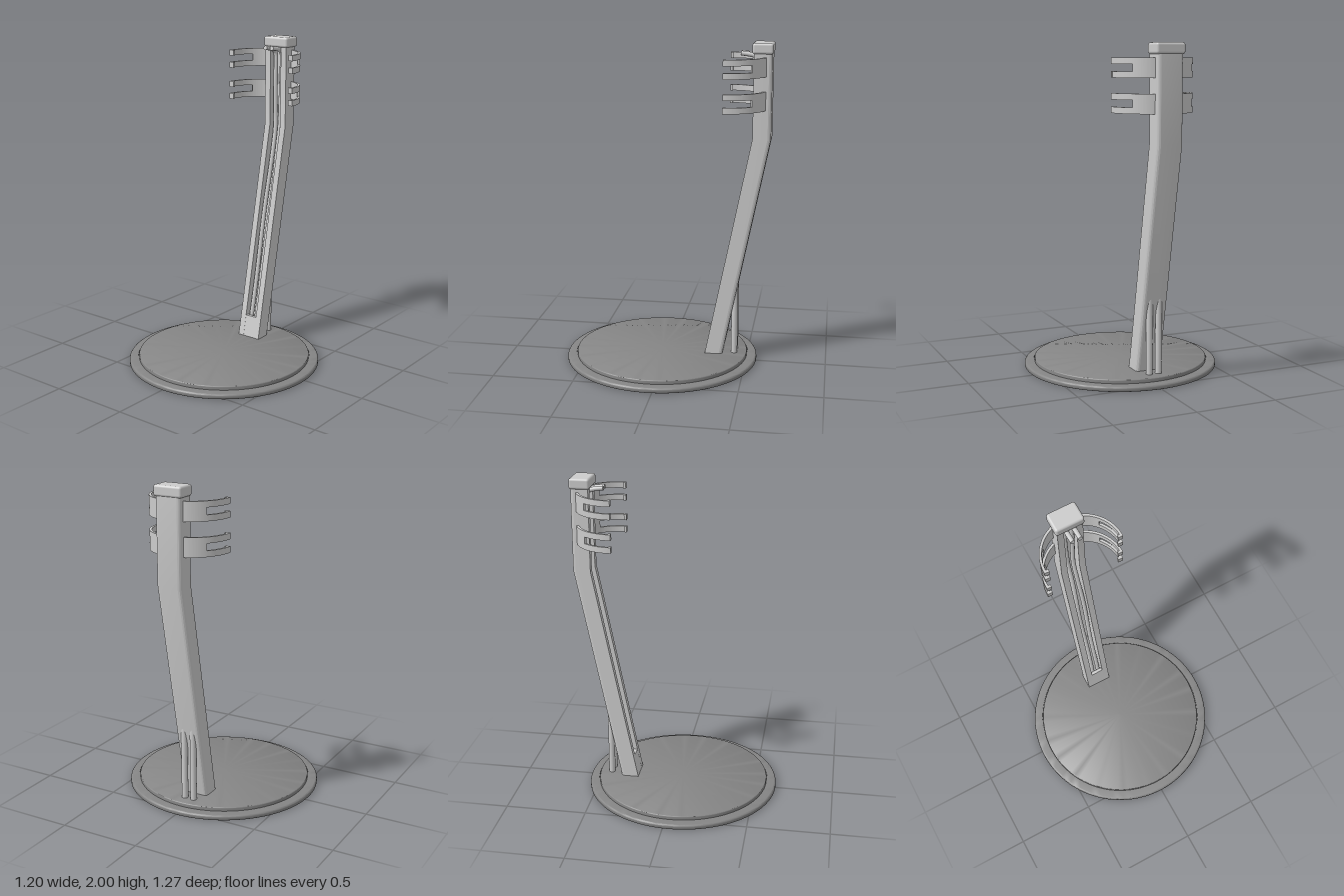
import * as THREE from 'three';
import { toCreasedNormals } from 'three/addons/utils/BufferGeometryUtils.js';
import { RoundedBoxGeometry } from 'three/addons/geometries/RoundedBoxGeometry.js';

const CX = -0.015;   // centre line of the post
const BEND = 1.43;   // height where the post turns upright
const FLOOR = 0.038; // underside of the hollow base

// z of the post's front face at height y
const frontZ = (y) => -0.235 - 0.285 * Math.min(y / BEND, 1);

export function createModel() {
  const group = new THREE.Group();
  const grey = new THREE.MeshStandardMaterial({ color: 0xcccccc });
  const dark = new THREE.MeshStandardMaterial({ color: 0x858585 });

  function add(name, geometry, x = 0, y = 0, z = 0, parent = group, material = grey) {
    const mesh = new THREE.Mesh(geometry, material);
    mesh.name = name;
    mesh.position.set(x, y, z);
    parent.add(mesh);
    return mesh;
  }

  // Extrude a plan shape (x, -z) upward
  function extrudeUp(shape, depth, steps = 1) {
    return new THREE.ExtrudeGeometry(shape, { depth, steps, bevelEnabled: false, curveSegments: 20 })
      .rotateX(-Math.PI / 2);
  }

  // Lean a geometry so that it follows the post
  function lean(geometry) {
    const p = geometry.attributes.position;
    for (let i = 0; i < p.count; i++) p.setZ(i, p.getZ(i) + frontZ(p.getY(i)));
    return toCreasedNormals(geometry, 0.6);
  }

  // Quarter-round profile corner from angle a, turning counter-clockwise
  const corner = (cx, cy, r, a) => [0, 1, 2, 3, 4].map((i) => {
    const t = a + (i * Math.PI) / 8;
    return [cx + r * Math.cos(t), cy + r * Math.sin(t)];
  });

  // Hollow round base with a stepped top and softened edges
  const profile = [
    [0, FLOOR], [0.545, FLOOR], [0.545, 0],
    ...corner(0.597, 0.004, 0.004, -Math.PI / 2),
    ...corner(0.589, 0.018, 0.012, 0),
    [0.54, 0.03],
    ...corner(0.533, 0.048, 0.007, 0),
    [0, 0.055],
  ].map(([r, y]) => new THREE.Vector2(r, y));
  add('base', toCreasedNormals(new THREE.LatheGeometry(profile, 96), 0.6), 0, 0, 0.035, group, dark);

  // Channel post: open to the front, rounded at the back
  const w = 0.08, d = 0.11, s = 0.04, depth = 0.075, r = 0.022;
  const section = new THREE.Shape();
  section.moveTo(-w, 0);
  section.lineTo(-s, 0);
  section.lineTo(-s, depth);
  section.lineTo(s, depth);
  section.lineTo(s, 0);
  section.lineTo(w, 0);
  section.lineTo(w, d - r);
  section.absarc(w - r, d - r, r, 0, Math.PI / 2);
  section.lineTo(-w + r, d);
  section.absarc(-w + r, d - r, r, Math.PI / 2, Math.PI);
  const postGeo = extrudeUp(section, 1.94, 2);
  const pos = postGeo.attributes.position;
  for (let i = 0; i < pos.count; i++) {
    const y = pos.getY(i);
    pos.setY(i, y < 0.1 ? FLOOR - 0.003 : y < 1.5 ? BEND : 1.94);
  }
  add('post', lean(postGeo), CX);

  // Plate closing the foot of the channel
  add('channelCover', lean(new THREE.BoxGeometry(2 * s, 0.15, 0.02).translate(0, 0.115, -0.0105)), CX);

  add('cap', new RoundedBoxGeometry(0.18, 0.065, 0.125, 4, 0.015), CX, 1.9675, -0.5725);

  // Wavy cables running through the channel, tips poking out below the cap and into the hollow base
  for (const side of [-1, 1]) {
    const points = [];
    for (let i = 0; i <= 24; i++) {
      const y = 0.004 + (1.84 * i) / 24;
      const wave = 0.004 * Math.sin(y * 7 + side) * Math.min(1, y);
      points.push(new THREE.Vector3(CX + side * 0.02 + wave, y, frontZ(y) - 0.036));
    }
    const x = CX + side * 0.024;
    points.push(new THREE.Vector3(x, 1.9, -0.55), new THREE.Vector3(x, 1.922, -0.52),
      new THREE.Vector3(x, 1.936, -0.44));
    const curve = new THREE.CatmullRomCurve3(points);
    add('cable', new THREE.TubeGeometry(curve, 160, 0.014, 12));
    for (const [t, dir] of [[0, -1], [1, 1]]) {
      const end = add('cableEnd', new THREE.CircleGeometry(0.014, 12));
      end.position.copy(curve.getPoint(t));
      end.lookAt(end.position.clone().addScaledVector(curve.getTangent(t), dir));
    }
  }

  // Upright rods supporting the back of the post
  for (const side of [-1, 1]) {
    add('supportRod', new THREE.CylinderGeometry(0.02, 0.02, 0.525, 20), CX + side * 0.03, 0.298, -0.427);
  }

  // Curved piece of a clip, between two angles around the clip centre
  function arc(from, to, height) {
    const shape = new THREE.Shape();
    shape.absarc(0, 0, 0.243, from, to, false);
    shape.absarc(0, 0, 0.228, to, from, true);
    return toCreasedNormals(extrudeUp(shape, height), 0.5);
  }

  // Two pairs of forked clips with inward hooks
  const fork = 0.7, root = 1.31;
  for (const y of [1.603, 1.803]) {
    for (const side of [-1, 1]) {
      const clip = new THREE.Group();
      clip.name = side > 0 ? 'leftClip' : 'rightClip';
      clip.position.set(CX, y, -0.365);
      group.add(clip);
      const sector = (a, b, h) => (side > 0 ? arc(a, b, h) : arc(Math.PI - b, Math.PI - a, h));
      add('clipBand', sector(fork, root, 0.113), 0, 0, 0, clip);
      for (const py of [0, 0.077]) {
        add('clipProng', sector(0, fork, 0.036), 0, py, 0, clip);
        add('clipHook', new THREE.BoxGeometry(0.03, 0.036, 0.016), side * 0.228, py + 0.018, 0.002, clip);
      }
    }
  }

  return group;
}
